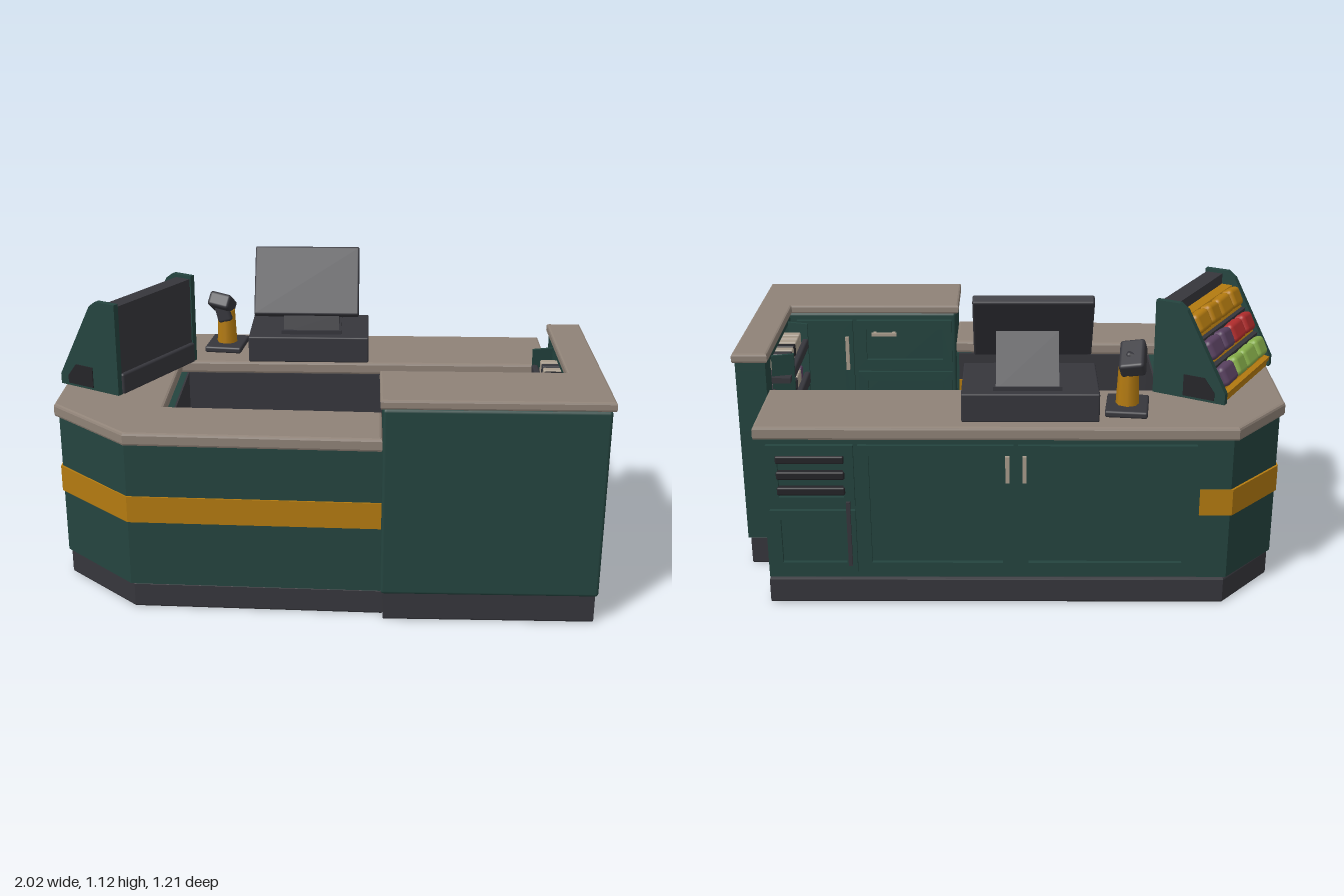
import * as THREE from 'three';
import { RoundedBoxGeometry } from 'three/addons/geometries/RoundedBoxGeometry.js';

const mat = (name, color) => Object.assign(new THREE.MeshStandardMaterial({ color }), { name });
const M = {
  green: mat('counterGreen', 0x24443f),
  stone: mat('stoneTop', 0x8f8277),
  charcoal: mat('charcoal', 0x36363c),
  black: mat('softBlack', 0x242428),
  amber: mat('amber', 0xb37a10),
  red: mat('red', 0xb02c2c),
  lime: mat('lime', 0x86ad4a),
  purple: mat('purple', 0x58405f),
  cream: mat('cream', 0xa89c8c),
};

function add(parent, name, geo, material) {
  const m = new THREE.Mesh(geo, material);
  m.name = name;
  parent.add(m);
  return m;
}

// Box given by its limits on each axis
function box(parent, name, material, [x0, x1], [y0, y1], [z0, z1], r = 0) {
  const s = [x1 - x0, y1 - y0, z1 - z0];
  const m = add(parent, name, r ? new RoundedBoxGeometry(...s, 2, r) : new THREE.BoxGeometry(...s), material);
  m.position.set((x0 + x1) / 2, (y0 + y1) / 2, (z0 + z1) / 2);
  return m;
}

// Plan outline [x, z] raised from y0 to y1, with optional softened edges
function slab(parent, name, material, pts, y0, y1, b = 0) {
  const shape = new THREE.Shape(pts.map(([x, z]) => new THREE.Vector2(x, -z)));
  const geo = new THREE.ExtrudeGeometry(shape, {
    depth: y1 - y0 - 2 * b, bevelEnabled: b > 0, bevelSize: b, bevelOffset: -b, bevelThickness: b, bevelSegments: 2,
  });
  geo.rotateX(-Math.PI / 2).translate(0, y0 + b, 0);
  return add(parent, name, geo, material);
}

// Side profile [z, y] given a width along x
function profile(parent, name, material, pts, x0, x1) {
  const shape = new THREE.Shape(pts.map(p => new THREE.Vector2(...p)));
  const geo = new THREE.ExtrudeGeometry(shape, { depth: x1 - x0, bevelEnabled: false });
  geo.rotateY(-Math.PI / 2).translate(x1, 0, 0);
  return add(parent, name, geo, material);
}

// Raised door frame on a face that looks towards -z
function door(parent, name, x0, x1, y0, y1, z) {
  const rect = (P, d) => new P([[x0 + d, y0 + d], [x1 - d, y0 + d], [x1 - d, y1 - d], [x0 + d, y1 - d]]
    .map(p => new THREE.Vector2(...p)));
  const s = rect(THREE.Shape, 0.008);
  s.holes.push(rect(THREE.Path, 0.045));
  const geo = new THREE.ExtrudeGeometry(s, { depth: 0.016, bevelEnabled: false });
  add(parent, name, geo.translate(0, 0, z - 0.016), M.green);
}

// Bar handle on two feet, on a face that looks towards -z
function handle(parent, x, y, z, length, vertical, material = M.cream) {
  const g = new THREE.Group();
  g.name = 'handle';
  box(g, 'handleBar', material, [-length / 2, length / 2], [-0.007, 0.007], [-0.03, -0.018]);
  for (const s of [-1, 1]) {
    const c = s * (length / 2 - 0.012);
    box(g, 'handleFoot', material, [c - 0.006, c + 0.006], [-0.006, 0.006], [-0.02, 0]);
  }
  g.position.set(x, y, z);
  if (vertical) g.rotation.z = Math.PI / 2;
  parent.add(g);
}

function lowCounter() {
  const g = new THREE.Group();
  g.name = 'lowCounter';
  slab(g, 'lowTop', M.stone, [[0.88, -0.605], [-0.8, -0.61], [-1, -0.37], [-1, 0.26], [-0.7, 0.54], [0.21, 0.57],
    [0.21, 0.3], [-0.59, 0.27], [-0.59, -0.24], [0.88, -0.24]], 0.65, 0.7, 0.01);
  const outer = [[-0.79, -0.57], [-0.985, -0.36], [-0.985, 0.25], [-0.7, 0.52], [0.21, 0.55]];
  const inner = [[0.21, 0.3], [-0.57, 0.28], [-0.57, -0.25], [0.86, -0.25]];
  slab(g, 'lowBody', M.green, [[0.86, -0.57], ...outer, ...inner], 0.1, 0.65);
  slab(g, 'lowKick', M.charcoal, [[0.86, -0.58], [-0.78, -0.58], [-0.975, -0.36], [-0.975, 0.245], [-0.69, 0.51],
    [0.22, 0.54], [0.22, 0.31], [-0.56, 0.285], [-0.56, -0.255], [0.86, -0.255]], 0, 0.1, 0.008);
  // Amber band wrapped round the customer side
  const grow = (p, d) => [p[0] + (p[0] < -0.75 ? -d : 0), p[1] + (p[1] > 0 ? d : -d)];
  const path = [[-0.68, -0.57], ...outer];
  slab(g, 'amberBand', M.amber, [...path.map(p => grow(p, 0.006)), ...path.map(p => grow(p, -0.01)).reverse()], 0.35, 0.45);
  // Dark lining on the staff side
  box(g, 'leftLining', M.charcoal, [-0.572, -0.563], [0.1, 0.65], [-0.25, 0.28]);
  box(g, 'backLining', M.charcoal, [-0.57, 0.86], [0.1, 0.65], [-0.252, -0.243]);
  slab(g, 'frontLining', M.charcoal, [[0.2, 0.305], [-0.57, 0.285], [-0.57, 0.272], [0.2, 0.292]], 0.35, 0.65);
  slab(g, 'liningBand', M.amber, [[0.2, 0.3], [-0.35, 0.285], [-0.35, 0.272], [0.2, 0.286]], 0.42, 0.54);
  // Cupboards and drawer unit along the back
  door(g, 'cupboardDoor', -0.67, -0.03, 0.12, 0.63, -0.57);
  door(g, 'cupboardDoor', -0.03, 0.53, 0.12, 0.63, -0.57);
  door(g, 'drawerFrame', 0.53, 0.85, 0.38, 0.63, -0.57);
  door(g, 'lowerDoor', 0.53, 0.85, 0.12, 0.38, -0.57);
  handle(g, -0.06, 0.54, -0.58, 0.1, true);
  handle(g, 0.0, 0.54, -0.58, 0.1, true);
  handle(g, 0.56, 0.29, -0.58, 0.25, true, M.charcoal);
  for (let i = 0; i < 3; i++) {
    box(g, 'ventBar', M.black, [0.57, 0.81], [0.435 + i * 0.06, 0.465 + i * 0.06], [-0.595, -0.57], 0.006);
  }
  return g;
}

function tallCounter() {
  const g = new THREE.Group();
  g.name = 'tallCounter';
  slab(g, 'tallTop', M.stone, [[0.2, 0.6], [1, 0.6], [1, -0.295], [0.87, -0.295], [0.87, 0.29], [0.2, 0.29]], 0.82, 0.855, 0.008);
  slab(g, 'tallKick', M.charcoal, [[0.22, 0.58], [0.98, 0.58], [0.98, -0.285], [0.89, -0.285], [0.89, 0.31], [0.22, 0.31]], 0, 0.115, 0.008);
  box(g, 'tallFront', M.green, [0.21, 0.99], [0.11, 0.82], [0.3, 0.595], 0.012);
  // Side wall around the display opening
  const x = [0.88, 0.99];
  box(g, 'sideLower', M.green, x, [0.11, 0.55], [-0.285, 0.32]);
  box(g, 'sideHeader', M.green, x, [0.79, 0.82], [-0.285, 0.32]);
  box(g, 'sideRearPost', M.green, x, [0.55, 0.79], [-0.285, -0.18]);
  box(g, 'sideFrontPost', M.green, x, [0.55, 0.79], [0.27, 0.32]);
  for (const [z0, s] of [[-0.15, -1], [0.24, 1]]) {
    slab(g, 'shelfCheek', M.green, [[0.8, z0 - s * 0.025], [0.88, z0], [0.88, z0 + s * 0.012], [0.8, z0 - s * 0.012]], 0.55, 0.8);
  }
  // Shelves stocked with small packs
  const rows = [
    [0.55, 0.58, ['purple', 'cream', 'cream', 'charcoal', 'black', 'purple', 'cream']],
    [0.7, 0.72, ['cream', 'cream', 'cream', 'black', 'cream', 'charcoal', 'cream']],
  ];
  for (const [y, base, cols] of rows) {
    box(g, 'shelf', M.charcoal, [0.81, 0.985], [y, base], [-0.18, 0.27]);
    for (const lx of [0.81, 0.975]) {
      box(g, 'shelfLip', M.charcoal, [lx - 0.012, lx + 0.012], [y, base + 0.02], [lx > 0.9 ? -0.18 : -0.13, lx > 0.9 ? 0.27 : 0.22], 0.008);
    }
    cols.forEach((c, i) => {
      const z = 0.19 - i * 0.045;
      box(g, 'pack', M[c], [0.825, 0.962], [base, base + 0.05], [z - 0.017, z + 0.017], 0.006);
    });
  }
  box(g, 'shelfBackRail', M.charcoal, [0.87, 0.89], [0.64, 0.67], [-0.18, 0.27]);
  // Staff-side doors
  door(g, 'staffDoor', 0.62, 0.86, 0.13, 0.8, 0.3);
  door(g, 'staffDrawer', 0.22, 0.62, 0.58, 0.8, 0.3);
  door(g, 'staffDoor', 0.22, 0.62, 0.13, 0.58, 0.3);
  handle(g, 0.65, 0.66, 0.29, 0.14, true);
  handle(g, 0.5, 0.74, 0.29, 0.1, false);
  return g;
}

function register() {
  const g = new THREE.Group();
  g.name = 'register';
  box(g, 'cashDrawer', M.charcoal, [-0.32, 0.16], [0.7, 0.805], [-0.56, -0.24], 0.006);
  box(g, 'standFoot', M.charcoal, [-0.19, 0.05], [0.8, 0.82], [-0.53, -0.28]);
  profile(g, 'screenStand', M.charcoal, [[-0.53, 0.81], [-0.29, 0.81], [-0.31, 0.88], [-0.4, 0.98]], -0.18, 0.04);
  const s = add(g, 'screen', new RoundedBoxGeometry(0.42, 0.285, 0.04, 2, 0.008), M.charcoal);
  s.position.set(-0.09, 0.995, -0.385);
  s.rotation.x = -0.55;
  return g;
}

function scanner() {
  const g = new THREE.Group();
  g.name = 'scanner';
  box(g, 'scannerPlate', M.charcoal, [-0.075, 0.075], [0, 0.025], [-0.09, 0.09], 0.008);
  const stem = add(g, 'scannerGrip', new THREE.CylinderGeometry(0.035, 0.042, 0.14, 8), M.amber);
  stem.position.set(0, 0.09, 0);
  const neck = add(g, 'scannerNeck', new RoundedBoxGeometry(0.06, 0.1, 0.06, 2, 0.012), M.charcoal);
  neck.position.set(-0.01, 0.165, 0.01);
  neck.rotation.z = 0.25;
  const head = add(g, 'scannerHead', new RoundedBoxGeometry(0.09, 0.06, 0.13, 2, 0.012), M.charcoal);
  head.position.set(-0.015, 0.19, 0.01);
  head.rotation.set(-0.5, 0, -0.2);
  g.position.set(-0.425, 0.7, -0.435);
  g.rotation.y = -0.12;
  return g;
}

function snackRack() {
  const g = new THREE.Group();
  g.name = 'snackRack';
  const side = [[-0.14, 0], [0.14, 0], [0.14, 0.04], [-0.02, 0.33], [-0.05, 0.352], [-0.14, 0.352]];
  for (const s of [-1, 1]) {
    profile(g, 'rackSide', M.green, side, s * 0.235 - 0.012, s * 0.235 + 0.012);
    profile(g, 'sideInset', M.black, [[-0.02, 0.01], [0.1, 0.01], [0.1, 0.04], [0.06, 0.09], [-0.02, 0.09]], s * 0.248 - 0.003, s * 0.248 + 0.003);
  }
  box(g, 'rackBack', M.charcoal, [-0.225, 0.225], [0, 0.34], [-0.135, -0.07]);
  box(g, 'rackLedge', M.charcoal, [-0.225, 0.225], [0, 0.08], [-0.15, -0.1], 0.008);
  profile(g, 'rackSlope', M.amber, [[-0.08, 0], [0.13, 0], [0.13, 0.025], [-0.03, 0.3], [-0.08, 0.3]], -0.224, 0.224);
  // Three stepped rows of snack bags
  const rows = [['purple', 'lime', 'lime', 'lime'], ['purple', 'purple', 'red', 'red'], ['amber', 'amber', 'amber', 'amber']];
  rows.forEach((cols, r) => {
    const y = 0.085 + r * 0.09, z = 0.1 - r * 0.055;
    const lip = box(g, 'rackShelf', r ? M.charcoal : M.amber, [-0.224, 0.224], [y - 0.055, y - 0.04], [z - 0.04, z + 0.04]);
    lip.rotation.x = 0.15;
    cols.forEach((c, i) => {
      const bag = add(g, 'snackBag', new RoundedBoxGeometry(0.1, 0.075, 0.065, 2, 0.018), M[c]);
      bag.position.set((i - 1.5) * 0.108, y, z);
      bag.rotation.set(-0.45, (i % 2 ? 1 : -1) * 0.08, (i % 2 ? -1 : 1) * 0.05);
    });
  });
  g.position.set(-0.775, 0.7, -0.115);
  g.rotation.y = -2.084;
  return g;
}

export function createModel() {
  const model = new THREE.Group();
  model.name = 'checkoutCounter';
  model.add(lowCounter(), tallCounter(), register(), scanner(), snackRack());
  return model;
}
